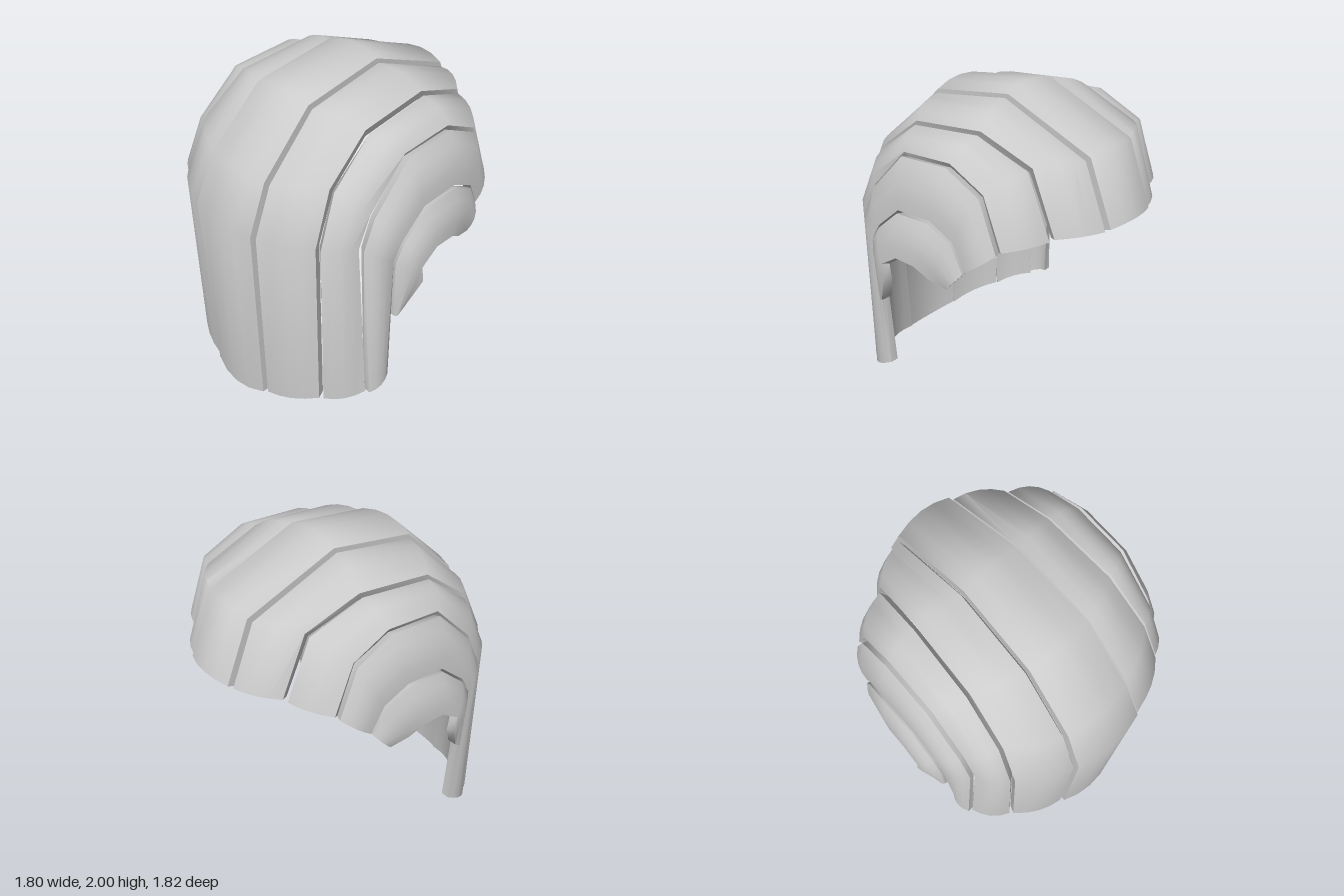
import * as THREE from 'three';
import { toCreasedNormals } from 'three/addons/utils/BufferGeometryUtils.js';

const { lerp } = THREE.MathUtils;

// Edge path from hem over the crown to the back rim: a side profile of z, y
// pairs at seven stations, and the x at the hem, front, crown and back.
function edge([hem, front, crown, back], ...zy) {
  return zy.map(([z, y], k) => {
    const x = k < 2 ? [hem, front][k]
      : k < 5 ? lerp(front, crown, (k - 1) / 3) : lerp(crown, back, (k - 4) / 2);
    return new THREE.Vector3(x, y, z);
  });
}

const mirrored = (path) => path.map((p) => new THREE.Vector3(-p.x, p.y, p.z));

// Neighbouring edge across the gap, slightly sunk under the previous slat
const acrossGap = (path, gap) =>
  path.map((p) => new THREE.Vector3(p.x + gap, p.y * 0.99, p.z * 0.975));

// One curved slat between edges a and b (a on the -x side), with a bulged
// section of constant thickness.
function slat(name, a, b, bulge, thick, dip = 0) {
  const N = 5, R = N * 2, last = a.length - 1, pos = [], idx = [];
  const mids = a.map((p, k) => p.clone().lerp(b[k], 0.5));
  for (let k = 0; k <= last; k++) {
    const along = mids[Math.min(k + 1, last)].clone().sub(mids[Math.max(k - 1, 0)]);
    const out = b[k].clone().sub(a[k]).cross(along).normalize();
    const outer = [], inner = [];
    for (let i = 0; i < N; i++) {
      const t = i / (N - 1), w = 4 * t * (1 - t);
      const p = a[k].clone().lerp(b[k], t).addScaledVector(out, bulge * w);
      if (k === 0) p.y -= dip * w;
      outer.push(p);
      inner.unshift(p.clone().addScaledVector(out, -thick));
    }
    for (const p of [...outer, ...inner]) pos.push(p.x, p.y, p.z);
  }
  // skin around the section
  for (let k = 0; k < last; k++) {
    for (let i = 0; i < R; i++) {
      const j = (i + 1) % R, p = k * R, q = p + R;
      idx.push(p + i, p + j, q + j, p + i, q + j, q + i);
    }
  }
  // hem and rim caps
  const e = last * R;
  for (let i = 0; i < N - 1; i++) {
    const o = i + 1, n0 = R - 1 - i, n1 = R - 2 - i;
    idx.push(i, n0, n1, i, n1, o);
    idx.push(e + i, e + n1, e + n0, e + i, e + o, e + n1);
  }
  const geo = new THREE.BufferGeometry();
  geo.setAttribute('position', new THREE.Float32BufferAttribute(pos, 3));
  geo.setIndex(idx);
  const mesh = new THREE.Mesh(toCreasedNormals(geo, 0.95),
    new THREE.MeshStandardMaterial({ color: 0xcccccc }));
  mesh.name = name;
  return mesh;
}

export function createModel() {
  const model = new THREE.Group();
  model.name = 'slattedHood';

  // outer edge of each slat, from the centre to the ear
  const centre = edge([0.215, 0.235, 0.19, 0.18], [0.83, 0.03], [0.87, 1.25],
    [0.74, 1.54], [0.4, 1.87], [-0.14, 1.96], [-0.72, 1.74], [-0.87, 1.36]);
  const inner = edge([0.55, 0.56, 0.48, 0.44], [0.67, 0.11], [0.69, 1.25],
    [0.56, 1.56], [0.27, 1.79], [-0.2, 1.84], [-0.55, 1.72], [-0.69, 1.34]);
  const middle = edge([0.75, 0.71, 0.7, 0.7], [0.48, 0.18], [0.515, 1.24],
    [0.43, 1.42], [0.17, 1.69], [-0.18, 1.72], [-0.42, 1.61], [-0.54, 1.31]);
  const outer = edge([0.78, 0.82, 0.82, 0.8], [0.32, 0.24], [0.355, 1.14],
    [0.29, 1.24], [0.12, 1.39], [-0.13, 1.41], [-0.29, 1.33], [-0.37, 1.17]);
  const ear = edge([0.82, 0.9, 0.89, 0.84], [0.29, 0.74], [0.19, 0.95],
    [0.2, 1.05], [0.08, 1.13], [-0.06, 1.13], [-0.15, 1.07], [-0.26, 1.04]);

  // the ear slat starts part way up its neighbour
  const earNear = acrossGap(outer, 0.01);
  earNear[0].lerp(earNear[1], 0.55);

  model.add(slat('centreSlat', mirrored(centre), centre, 0.04, 0.07, 0.03));
  const pairs = [
    ['innerSlat', acrossGap(centre, 0.02), inner, 0.03, 0.06],
    ['middleSlat', acrossGap(inner, 0.02), middle, 0.03, 0.06],
    ['outerSlat', acrossGap(middle, 0.025), outer, 0.025, 0.05],
    ['earSlat', earNear, ear, 0.02, 0.05],
  ];
  for (const [name, near, far, bulge, thick] of pairs) {
    model.add(slat(name + 'Left', near, far, bulge, thick));
    model.add(slat(name + 'Right', mirrored(far), mirrored(near), bulge, thick));
  }
  return model;
}
